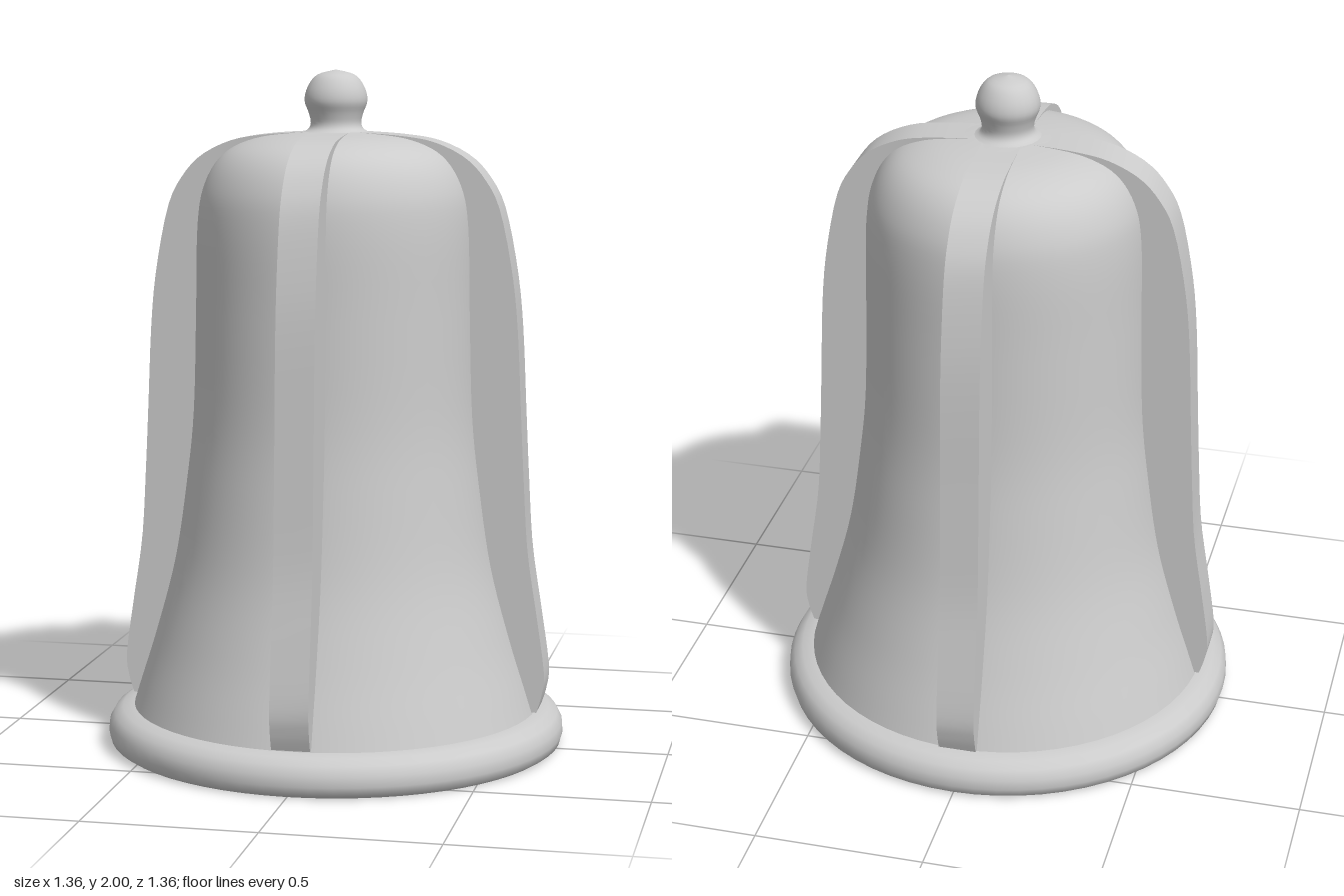
import * as THREE from 'three';
import { toCreasedNormals } from 'three/addons/utils/BufferGeometryUtils.js';

const material = new THREE.MeshStandardMaterial({ color: 0xcccccc });
const toVectors = (pts) => pts.map(([x, y]) => new THREE.Vector2(x, y));

function addMesh(parent, name, geometry) {
  const mesh = new THREE.Mesh(geometry, material);
  mesh.name = name;
  parent.add(mesh);
  return mesh;
}

// Turned part: smooth spline through (radius, height) points, bottom to top
function turned(points, samples, sides) {
  const curve = new THREE.SplineCurve(toVectors(points));
  const profile = curve.getPoints(samples);
  profile.forEach((p) => { p.x = Math.max(p.x, 0); });
  return new THREE.LatheGeometry(profile, sides);
}

export function createModel() {
  const bell = new THREE.Group();
  bell.name = 'bell';

  // Rounded rim with a closed flat underside
  const rim = new THREE.LatheGeometry(toVectors([
    [0, 0], [0.66, 0], [0.675, 0.01], [0.682, 0.035], [0.68, 0.065],
    [0.665, 0.092], [0.64, 0.108], [0.6, 0.116], [0.5, 0.12],
  ]), 64);
  addMesh(bell, 'rim', toCreasedNormals(rim, 0.8));

  // Flared body closing into a dome
  addMesh(bell, 'body', turned([
    [0.61, 0.1], [0.585, 0.18], [0.535, 0.34], [0.48, 0.55], [0.445, 0.78],
    [0.422, 1.0], [0.413, 1.3], [0.407, 1.55], [0.385, 1.67], [0.33, 1.755],
    [0.24, 1.8], [0.12, 1.818], [0, 1.825],
  ], 60, 64));

  // Four flat-sided ribs following the body from crown to rim
  const outer = new THREE.SplineCurve(toVectors([
    [0.615, 0.12], [0.63, 0.17], [0.637, 0.24], [0.615, 0.4], [0.585, 0.6],
    [0.572, 0.8], [0.562, 1.0], [0.55, 1.25], [0.532, 1.42], [0.495, 1.6],
    [0.45, 1.69], [0.39, 1.752], [0.3, 1.795], [0.2, 1.812], [0.08, 1.82],
  ])).getPoints(48);
  const ribShape = new THREE.Shape([
    ...outer,
    ...toVectors([[0.08, 1.7], [0.33, 1.6], [0.36, 1.0], [0.42, 0.5], [0.5, 0.12]]),
  ]);
  const width = 0.112;
  const ribGeometry = toCreasedNormals(
    new THREE.ExtrudeGeometry(ribShape, { depth: width, bevelEnabled: false })
      .translate(0, 0, -width / 2), 0.6);
  ['leftRib', 'backRib', 'rightRib', 'frontRib'].forEach((name, i) => {
    addMesh(bell, name, ribGeometry).rotation.y = i * Math.PI / 2;
  });

  // Ball knob on a short flared neck
  addMesh(bell, 'knob', turned([
    [0.12, 1.812], [0.085, 1.825], [0.074, 1.845], [0.08, 1.875], [0.092, 1.91],
    [0.083, 1.95], [0.055, 1.985], [0, 2.0],
  ], 28, 24));

  return bell;
}
